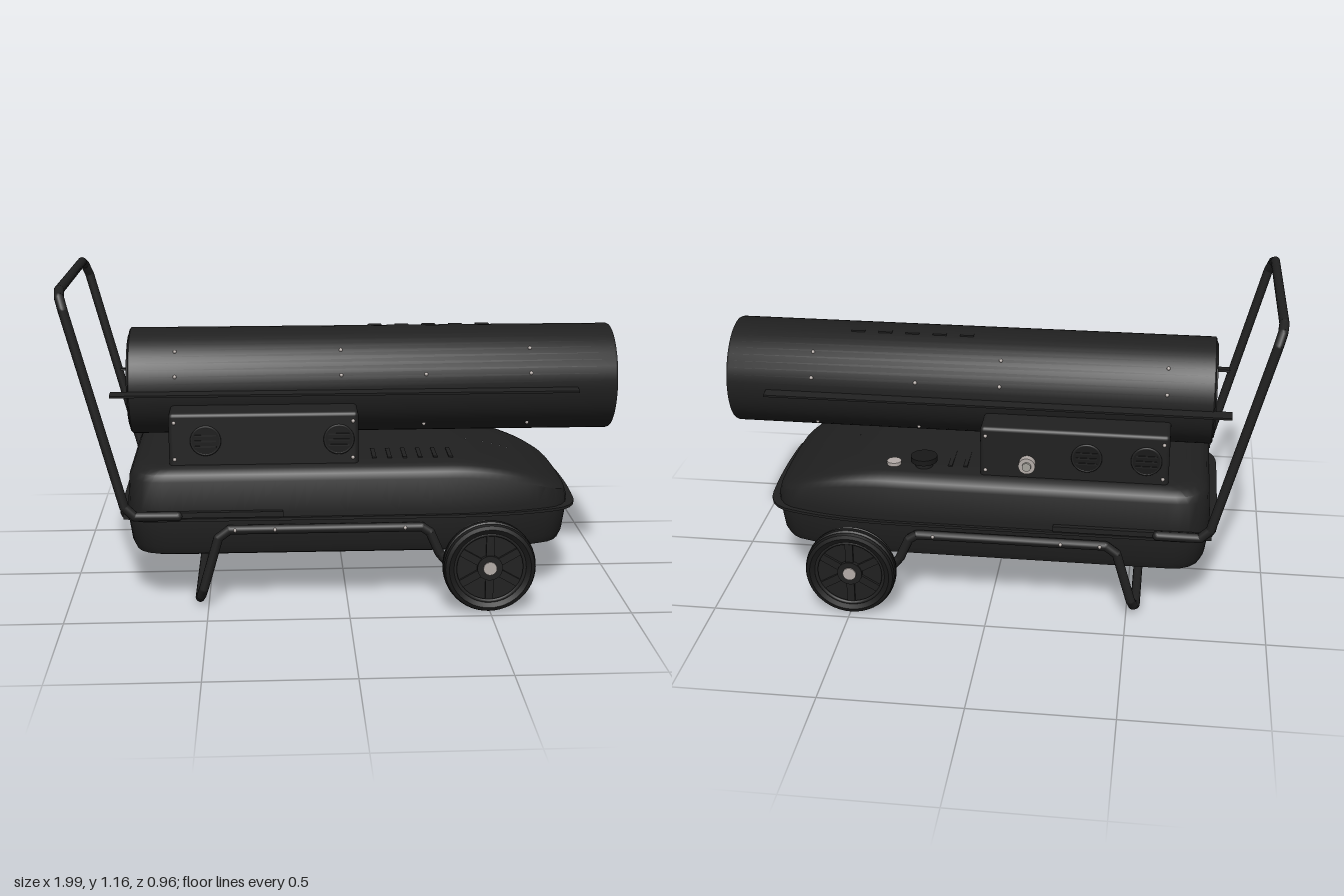
import * as THREE from 'three';
import { toCreasedNormals } from 'three/addons/utils/BufferGeometryUtils.js';
import { RoundedBoxGeometry } from 'three/addons/geometries/RoundedBoxGeometry.js';

const mat = (name, color) => Object.assign(new THREE.MeshStandardMaterial({ color }), { name });

export function createModel() {
  const root = new THREE.Group();
  root.name = 'portableHeater';
  const black = mat('blackPaint', 0x202020);
  const dark = mat('darkRubber', 0x181818);
  const steel = mat('steel', 0xb4aca8);
  const lining = mat('lining', 0xa5a39c);
  const magenta = mat('magenta', 0xdb2fc0);

  const add = (name, geo, m, x = 0, y = 0, z = 0, parent = root) => {
    const mesh = new THREE.Mesh(geo, m);
    mesh.name = name;
    mesh.position.set(x, y, z);
    parent.add(mesh);
    return mesh;
  };
  const box = (name, w, h, d, x, y, z, m = black) => add(name, new THREE.BoxGeometry(w, h, d), m, x, y, z);
  const group = (name) => {
    const g = new THREE.Group();
    g.name = name;
    root.add(g);
    return g;
  };

  // Bent pipe made of straight runs with rounded joints
  function pipe(name, pts, r, m) {
    const g = group(name);
    const v = pts.map((p) => new THREE.Vector3(...p));
    v.forEach((p, i) => {
      add(name + 'Joint', new THREE.SphereGeometry(r, 12, 8), m, p.x, p.y, p.z, g);
      if (!i) return;
      const dir = p.clone().sub(v[i - 1]);
      const mid = p.clone().add(v[i - 1]).multiplyScalar(0.5);
      const run = add(name + 'Run', new THREE.CylinderGeometry(r, r, dir.length(), 12), m, mid.x, mid.y, mid.z, g);
      run.quaternion.setFromUnitVectors(new THREE.Vector3(0, 1, 0), dir.normalize());
    });
  }

  // Lathe turned so that its axis runs along x
  const latheX = (pts) => toCreasedNormals(
    new THREE.LatheGeometry(pts.map((p) => new THREE.Vector2(...p)), 48).rotateZ(-Math.PI / 2), 0.6);

  // Tank outline seen from above, tapering toward the nozzle end
  const o = new THREE.Shape();
  o.moveTo(-0.66, -0.37);
  o.lineTo(0.3, -0.37);
  o.bezierCurveTo(0.5, -0.37, 0.62, -0.35, 0.74, -0.31);
  o.quadraticCurveTo(0.8, -0.28, 0.81, -0.2);
  o.quadraticCurveTo(0.825, 0, 0.81, 0.2);
  o.quadraticCurveTo(0.8, 0.28, 0.74, 0.31);
  o.bezierCurveTo(0.62, 0.35, 0.5, 0.37, 0.3, 0.37);
  o.lineTo(-0.66, 0.37);
  o.quadraticCurveTo(-0.78, 0.37, -0.785, 0.24);
  o.lineTo(-0.785, -0.24);
  o.quadraticCurveTo(-0.78, -0.37, -0.66, -0.37);
  const outline = o.getSpacedPoints(120).slice(0, 120);

  // Skin through scaled copies of the outline: rows of [scaleX, scaleZ, y]
  function loft(rows) {
    const n = outline.length, pos = [], idx = [];
    rows.forEach(([sx, sz, y], i) => outline.forEach((p, j) => {
      const x = 0.015 + (p.x - 0.015) * sx;
      const t = Math.max(0, (x - 0.36) / 0.44);
      pos.push(x, y > 0.36 ? 0.36 + (y - 0.36) * (1 - 0.75 * t * t) : y, -p.y * sz);
      if (!i) return;
      const a = (i - 1) * n + j, d = i * n + j, k = (j + 1) % n - j;
      idx.push(a, a + k, d + k, a, d + k, d);
    }));
    const g = new THREE.BufferGeometry();
    g.setAttribute('position', new THREE.Float32BufferAttribute(pos, 3));
    g.setIndex(idx);
    return toCreasedNormals(g, 0.6);
  }
  add('fuelTank', loft([
    [0.94, 0, 0.19], [0.94, 0.5, 0.19], [0.94, 0.88, 0.19], [0.97, 0.94, 0.2], [0.985, 0.975, 0.23],
    [1, 1, 0.32], [1, 1, 0.36], [0.99, 0.99, 0.47], [0.975, 0.965, 0.493], [0.945, 0.91, 0.51],
    [0.9, 0.85, 0.516], [0.88, 0.5, 0.52], [0.88, 0, 0.52]]), black);
  add('tankSeam', loft([[1.035, 0, 0.33], [1.035, 1.035, 0.33], [1.035, 1.035, 0.34], [1.035, 0, 0.34]]), black);
  for (let i = 0; i < 6; i++) {
    for (const s of [1, -1]) if (s > 0 || i < 2) box('tankRib', 0.015, 0.008, 0.12, 0.1 + i * 0.055, 0.518, s * 0.2);
  }

  // Barrel, open at both ends
  const CY = 0.755;
  add('barrel', latheX([[0.19, -0.78], [0.195, -0.775], [0.195, 0.98], [0.192, 0.987], [0.176, 0.987],
    [0.176, 0.9], [0.186, 0.88], [0.186, -0.78], [0.19, -0.78]]), black, 0, CY);
  add('nozzleLining', latheX([[0.1745, 0.984], [0.172, 0.915], [0.001, 0.915]]), lining, 0, CY).material.side = THREE.DoubleSide;
  for (const s of [1, -1]) {
    box('barrelFlange', 1.68, 0.008, 0.045, -0.06 + 0.12 * 0.5, 0.75, s * 0.212).rotation.x = s * 0.12;
  }
  for (let i = 0; i < 5; i++) box('barrelLouver', 0.05, 0.008, 0.03, 0.12 + i * 0.1, 0.943, -0.04);

  // Nozzle core: a cushion with four points and ridges between them
  const core = new THREE.RingGeometry(0.001, 1, 64, 8);
  const cp = core.attributes.position;
  for (let i = 0; i < cp.count; i++) {
    const a = Math.atan2(cp.getY(i), cp.getX(i)), r = Math.hypot(cp.getX(i), cp.getY(i));
    const ridge = Math.pow(Math.abs(Math.cos(2 * a)), 6) * (Math.abs(Math.cos(2 * a)) > 0 && Math.cos(2 * a) ? 1 : 0);
    const R = r * (0.138 + 0.018 * ridge + 0.003 * Math.sin(9 * a));
    cp.setXYZ(i, Math.cos(a) * R, Math.sin(a) * R, 0.92 + 0.065 * (1 - r * r) + 0.012 * ridge * r * (1 - r));
  }
  add('nozzleCore', toCreasedNormals(core.rotateY(Math.PI / 2), 0.5), magenta, 0, CY);

  // Rear intake: guard rings, spokes, motor and fan
  for (const r of [0.05, 0.08, 0.11, 0.14, 0.17]) {
    add('guardRing', new THREE.TorusGeometry(r, 0.004, 6, 40).rotateY(Math.PI / 2), black, -0.782, CY);
  }
  for (let i = 0; i < 4; i++) box('guardSpoke', 0.006, 0.37, 0.008, -0.777, CY, 0).rotation.x = i * Math.PI / 4;
  const capX = (r, l) => new THREE.CylinderGeometry(r, r, l, 32).rotateZ(Math.PI / 2);
  add('intakeWall', capX(0.186, 0.01), dark, -0.65, CY);
  add('motor', capX(0.045, 0.09), dark, -0.72, CY);
  for (let i = 0; i < 5; i++) {
    const arm = group('fanBlade');
    arm.position.set(-0.72, CY, 0);
    arm.rotation.x = i * Math.PI * 0.4;
    add('blade', new THREE.BoxGeometry(0.008, 0.12, 0.08), dark, 0, 0.1, 0, arm).rotation.y = 0.5;
  }

  // Control housing with round vents and a knob
  add('controlHousing', new RoundedBoxGeometry(0.67, 0.2, 0.62, 3, 0.015), black, -0.295, 0.603, 0);
  const disc = (name, r, l, x, y, z, m) => add(name, new THREE.CylinderGeometry(r, r, l, 24).rotateX(Math.PI / 2), m, x, y, z);
  for (const [x, s] of [[-0.5, 1], [-0.03, 1], [-0.34, -1], [-0.55, -1]]) {
    disc('vent', 0.048, 0.012, x, 0.605, s * 0.311, dark);
    add('ventRim', new THREE.TorusGeometry(0.05, 0.005, 8, 28), black, x, 0.605, s * 0.313);
    for (const dy of [-0.02, 0, 0.02]) box('ventSlat', 0.075, 0.006, 0.008, x, 0.605 + dy, s * 0.316);
  }
  disc('knob', 0.03, 0.03, -0.13, 0.572, -0.322, steel);
  disc('knobGrip', 0.016, 0.02, -0.13, 0.572, -0.335, lining);

  // Filler cap and fuel gauge on the tank
  const puck = (name, r, h, x, y, z, m) => add(name, new THREE.CylinderGeometry(r, r, h, 24), m, x, y, z);
  puck('fillerNeck', 0.032, 0.03, 0.25, 0.527, -0.26, black);
  puck('fillerCap', 0.048, 0.02, 0.25, 0.546, -0.26, dark);
  puck('fuelGauge', 0.026, 0.016, 0.36, 0.522, -0.26, steel);

  // Screws on barrel, housing and rail
  const screw = (x, y, z) => add('screw', new THREE.SphereGeometry(0.007, 8, 6), steel, x, y, z);
  for (const s of [1, -1]) {
    for (const x of [-0.61, -0.015, 0.67]) screw(x, CY + 0.135, s * 0.141);
    for (const x of [-0.61, -0.015, 0.29, 0.67]) {
      screw(x, CY + 0.053, s * 0.188);
      if (x > 0) screw(x, CY - 0.145, s * 0.131);
    }
    for (const x of [-0.61, 0.02]) for (const y of [0.537, 0.67]) screw(x, y, s * 0.31);
    for (const x of [-0.4, -0.26, 0.2]) screw(x, 0.302, s * 0.402);
    box('sideStrip', 0.56, 0.02, 0.02, -0.51, 0.355, s * 0.378);
  }

  // Push handle and support frame, mirrored into closed loops
  const mirror = (half) => [...half, ...half.map(([x, y, z]) => [x, y, -z]).reverse()];
  pipe('handle', mirror([[-0.6, 0.352, 0.385], [-0.75, 0.355, 0.39], [-0.785, 0.39, 0.392], [-0.965, 1.09, 0.393],
    [-0.978, 1.13, 0.37], [-0.983, 1.147, 0.325]]), 0.017, black);
  pipe('supportFrame', mirror([[0.49, 0.17, 0.388], [0.35, 0.17, 0.388], [0.325, 0.2, 0.388], [0.29, 0.28, 0.388],
    [0.26, 0.3, 0.388], [-0.42, 0.3, 0.388], [-0.46, 0.27, 0.388], [-0.515, 0.08, 0.385], [-0.525, 0.045, 0.36],
    [-0.532, 0.02, 0.315]]), 0.017, black);

  // Axle and wheels
  pipe('axle', [[0.495, 0.17, -0.46], [0.495, 0.17, 0.46]], 0.013, steel);
  const tyre = [[0.128, -0.03], [0.145, -0.037], [0.158, -0.033], [0.163, -0.022], [0.158, -0.017], [0.158, -0.013],
    [0.165, -0.009], [0.165, 0.009], [0.158, 0.013], [0.158, 0.017], [0.163, 0.022], [0.158, 0.033], [0.145, 0.037],
    [0.128, 0.03], [0.128, -0.03]];
  // the loop starts on the inner face and runs outward, so both sides face out
  const tyreGeo = latheX(tyre).rotateY(Math.PI / 2);
  for (const s of [1, -1]) {
    const w = group('wheel');
    w.position.set(0.495, 0.17, s * 0.443);
    const cyl = (name, r, l, m, z = 0) => add(name, new THREE.CylinderGeometry(r, r, l, 32).rotateX(Math.PI / 2), m, 0, 0, z, w);
    add('tyre', tyreGeo, dark, 0, 0, 0, w);
    cyl('wheelDisc', 0.13, 0.03, black);
    cyl('hub', 0.045, 0.06, black);
    cyl('hubCap', 0.024, 0.07, steel);
    add('rimRing', new THREE.TorusGeometry(0.124, 0.007, 8, 40), black, 0, 0, s * 0.024, w);
    for (let i = 0; i < 6; i++) {
      const arm = new THREE.Group();
      arm.name = 'spoke';
      arm.rotation.z = i * Math.PI / 3;
      w.add(arm);
      add('spokeBar', new THREE.BoxGeometry(0.028, 0.085, 0.05), black, 0, 0.08, 0, arm);
    }
  }
  return root;
}
